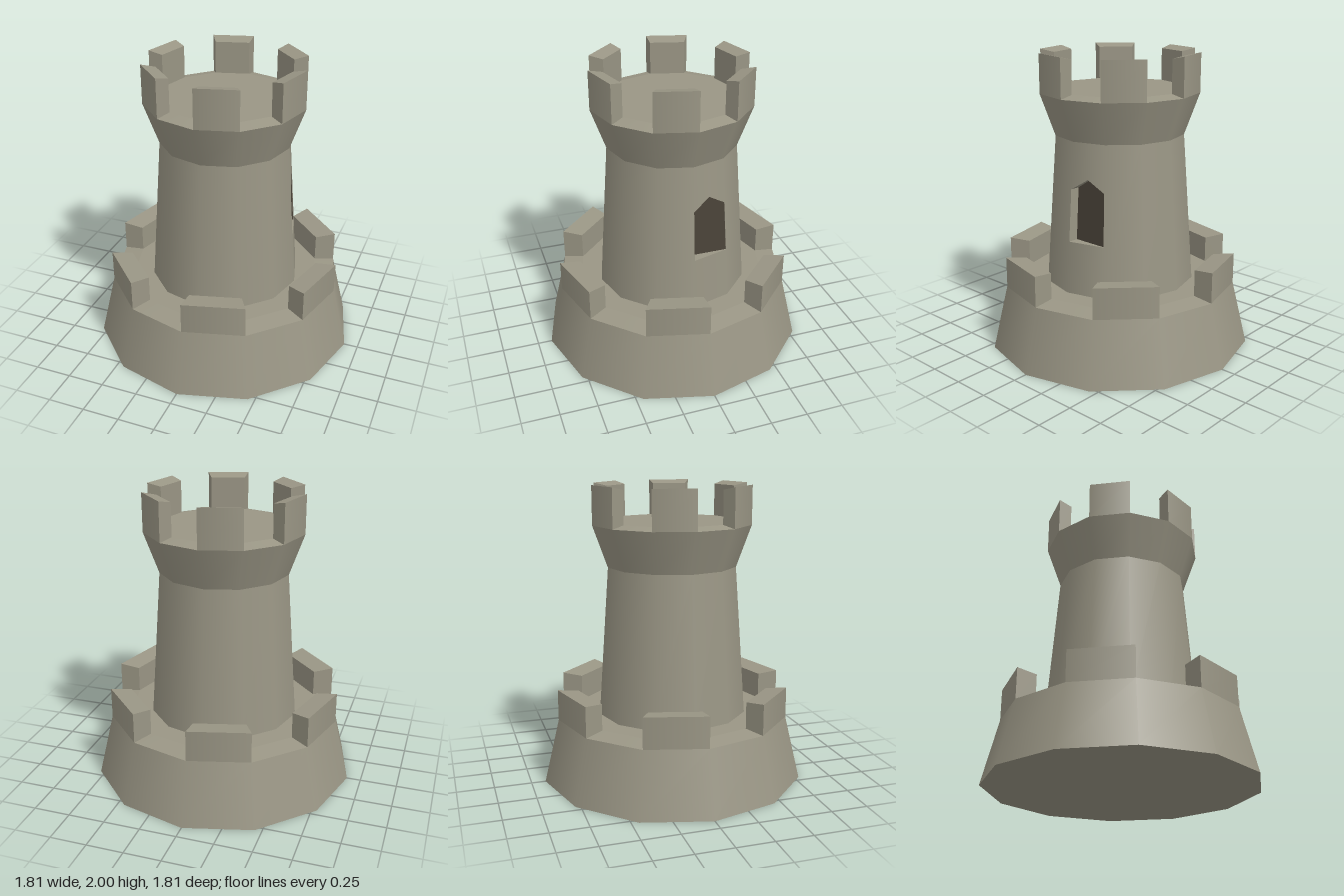
import * as THREE from 'three';

const SIDES = 12, STEP = Math.PI / 6;
const stone = new THREE.MeshStandardMaterial({ color: 0x9a9685 });
stone.name = 'stone';
const shadowBrown = new THREE.MeshStandardMaterial({ color: 0x4a4338 });
shadowBrown.name = 'dark window';

const polar = (r, y, a) => new THREE.Vector3(r * Math.sin(a), y, r * Math.cos(a));

function add(parent, name, geometry, material = stone) {
  const mesh = new THREE.Mesh(geometry, material);
  mesh.name = name;
  parent.add(mesh);
  return mesh;
}

// Polygons (counter-clockwise) to flat faces; the first `round` polygons get radial normals
function faces(polygons, round = 0, slope = 0) {
  const pos = [];
  let roundVerts = 0;
  polygons.forEach((p, k) => {
    for (let i = 1; i < p.length - 1; i++) {
      for (const v of [p[0], p[i], p[i + 1]]) pos.push(v.x, v.y, v.z);
      if (k < round) roundVerts += 3;
    }
  });
  const g = new THREE.BufferGeometry();
  g.setAttribute('position', new THREE.Float32BufferAttribute(pos, 3));
  g.computeVertexNormals();
  const n = new THREE.Vector3();
  for (let i = 0; i < roundVerts; i++) {
    n.set(pos[i * 3], 0, pos[i * 3 + 2]).normalize().setY(slope).normalize();
    g.attributes.normal.setXYZ(i, n.x, n.y, n.z);
  }
  return g;
}

// Open twelve-sided wall between two heights
function band(r0, y0, r1, y1, start = 0, count = SIDES) {
  return new THREE.CylinderGeometry(r1, r0, y1 - y0, count, 1, true, start * STEP, count * STEP)
    .translate(0, (y0 + y1) / 2, 0);
}

const disc = (r, y, up = true) =>
  new THREE.CircleGeometry(r, SIDES).rotateX(up ? -Math.PI / 2 : Math.PI / 2).translate(0, y, 0);

// Six merlons, one on every second side; section runs outer bottom, outer top, inner top, inner bottom
function merlons(parent, name, section) {
  const group = new THREE.Group();
  group.name = name;
  for (let k = 0; k < SIDES; k += 2) {
    const a = section.map(([r, y]) => polar(r, y, k * STEP));
    const b = section.map(([r, y]) => polar(r, y, (k + 1) * STEP));
    const sides = [0, 1, 2].map(i => [a[i], b[i], b[i + 1], a[i + 1]]);
    add(group, 'merlon', faces([...sides, a, [b[0], b[3], b[2], b[1]]], 1));
  }
  parent.add(group);
}

export function createModel() {
  const tower = new THREE.Group();
  tower.name = 'tower';

  // Base with its walkway
  add(tower, 'baseBottom', disc(0.905, 0, false));
  add(tower, 'baseWall', band(0.905, 0, 0.8, 0.435));
  add(tower, 'baseLip', band(0.8, 0.435, 0.66, 0.45));
  add(tower, 'baseFloor', disc(0.66, 0.45));
  merlons(tower, 'baseMerlons', [[0.8, 0.435], [0.8, 0.645], [0.66, 0.63], [0.66, 0.45]]);

  // Shaft: eleven plain sides, the twelfth holds the window
  const Y0 = 0.44, Y1 = 1.46, R0 = 0.515, R1 = 0.44;
  const radius = y => R0 + (R1 - R0) * (y - Y0) / (Y1 - Y0);
  add(tower, 'shaft', band(R0, Y0, R1, Y1, 4, 11));

  const onSide = (t, y) => polar(radius(y), y, 3 * STEP).lerp(polar(radius(y), y, 4 * STEP), t);
  const sill = 0.8, spring = 1.15, peak = 1.225;
  add(tower, 'windowWall', faces([
    [onSide(0, Y0), onSide(1, Y0), onSide(1, sill), onSide(0, sill)],
    [onSide(0, spring), onSide(0.5, peak), onSide(0.5, Y1), onSide(0, Y1)],
    [onSide(0.5, peak), onSide(1, spring), onSide(1, Y1), onSide(0.5, Y1)],
  ], 3, (R0 - R1) / (Y1 - Y0)));

  // Window recess with a pointed top
  const outer = [[0, sill], [1, sill], [1, spring], [0.5, peak], [0, spring]].map(p => onSide(...p));
  const inner = outer.map(p => p.clone().setX(radius(p.y) * Math.cos(STEP) - 0.005));
  add(tower, 'windowReveal', faces(outer.map((p, i) => {
    const j = (i + 1) % outer.length;
    return [p, outer[j], inner[j], inner[i]];
  })));
  add(tower, 'windowPanel', faces([inner]), shadowBrown);

  // Flared head with its battlements
  add(tower, 'headFlare', band(R1, Y1, 0.54, 1.74));
  add(tower, 'headLip', band(0.54, 1.74, 0.445, 1.76));
  add(tower, 'headFloor', disc(0.445, 1.76));
  merlons(tower, 'headMerlons', [[0.54, 1.74], [0.54, 2], [0.445, 1.98], [0.445, 1.76]]);

  return tower;
}
